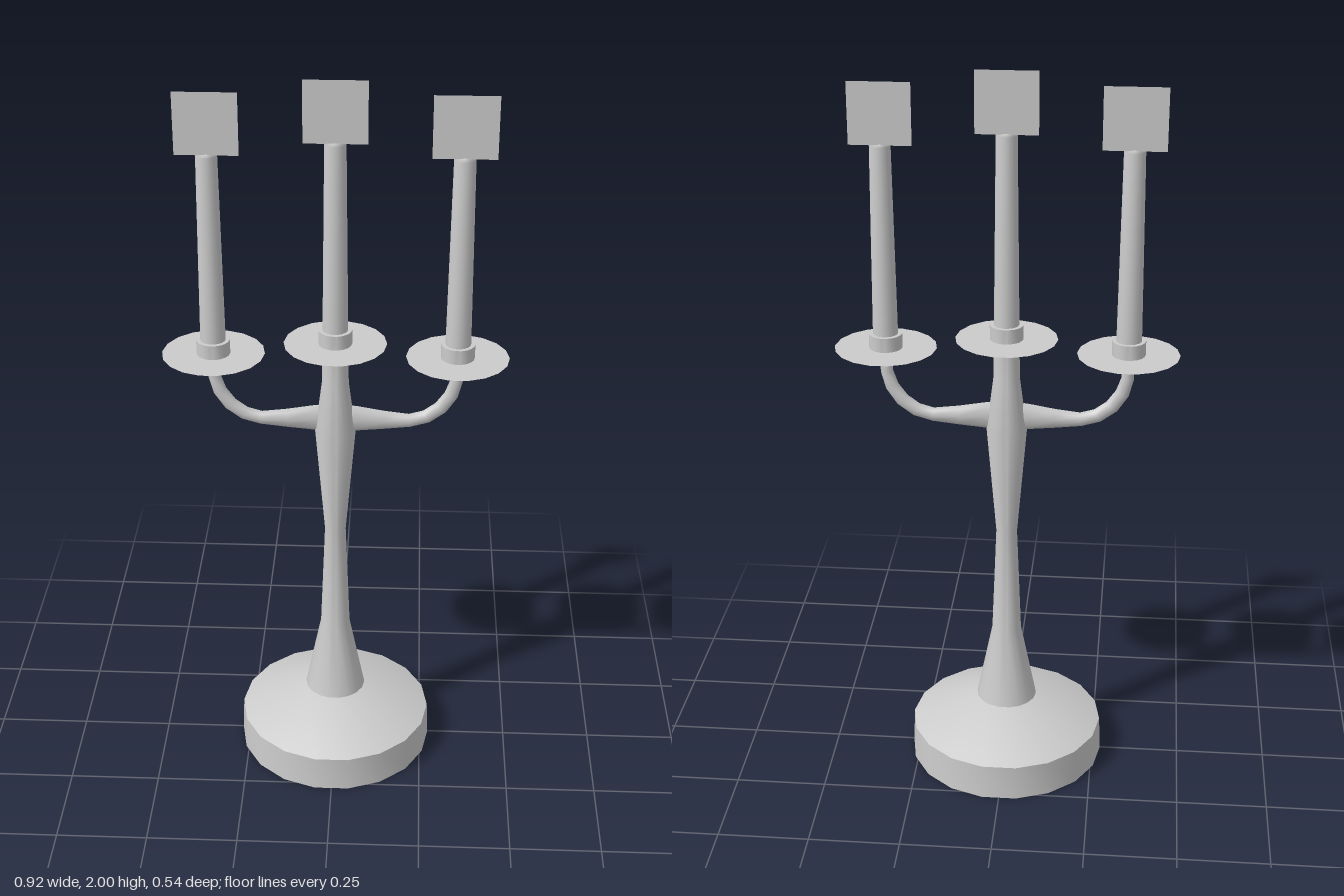
import * as THREE from 'three';
import { toCreasedNormals } from 'three/addons/utils/BufferGeometryUtils.js';

const SIDES = 18;
const material = new THREE.MeshStandardMaterial({ color: 0xcccccc });
const thinMaterial = new THREE.MeshStandardMaterial({ color: 0xcccccc, side: THREE.DoubleSide });

// Turned part from [radius, height] pairs, listed bottom to top
function turned(name, profile, smooth = false) {
  let geometry = new THREE.LatheGeometry(profile.map(([r, y]) => new THREE.Vector2(r, y)), SIDES);
  geometry.rotateY(Math.PI / 2);
  if (!smooth) geometry = toCreasedNormals(geometry, 0.45);
  const mesh = new THREE.Mesh(geometry, material);
  mesh.name = name;
  return mesh;
}

// Drip pan, cup, candle and flame card, with y = 0 at the top of the pan
function candleHolder(name) {
  const group = new THREE.Group();
  group.name = name;
  group.add(turned('dripPan', [[0, -0.03], [0.02, -0.03], [0.137, 0], [0, 0]]));
  group.add(turned('candleCup', [[0.045, -0.005], [0.045, 0.04], [0, 0.04]]));
  group.add(turned('candle', [[0.034, 0.03], [0.028, 0.551], [0, 0.553]], true));
  const flame = new THREE.Mesh(new THREE.PlaneGeometry(0.164, 0.164), thinMaterial);
  flame.name = 'flameCard';
  flame.position.y = 0.633;
  group.add(flame);
  return group;
}

// Curved arm swept in the xy plane, deep at the stem and slim at the tip
function armGeometry() {
  const stations = [ // x, y, half depth
    [0, 1.06, 0.042], [0.055, 1.06, 0.038], [0.13, 1.057, 0.028], [0.2, 1.057, 0.02],
    [0.245, 1.07, 0.02], [0.283, 1.098, 0.02], [0.31, 1.137, 0.019],
    [0.323, 1.18, 0.017], [0.325, 1.235, 0.016],
  ];
  const ringSides = 8, positions = [], index = [];
  stations.forEach(([x, y, depth], i) => {
    const a = stations[Math.max(i - 1, 0)], b = stations[Math.min(i + 1, stations.length - 1)];
    const angle = Math.atan2(b[1] - a[1], b[0] - a[0]);
    for (let j = 0; j < ringSides; j++) {
      const t = (j / ringSides) * Math.PI * 2;
      const u = Math.cos(t) * depth;
      positions.push(x - Math.sin(angle) * u, y + Math.cos(angle) * u, Math.sin(t) * 0.015);
      if (i === 0) continue;
      const k = (j + 1) % ringSides;
      const p = (i - 1) * ringSides, q = i * ringSides;
      index.push(p + j, p + k, q + j, p + k, q + k, q + j);
    }
  });
  const geometry = new THREE.BufferGeometry();
  geometry.setAttribute('position', new THREE.Float32BufferAttribute(positions, 3));
  geometry.setIndex(index);
  geometry.computeVertexNormals();
  return geometry;
}

export function createModel() {
  const model = new THREE.Group();
  model.name = 'candelabra';

  // Foot and stem
  model.add(turned('base', [[0, 0], [0.275, 0], [0.271, 0.1], [0.083, 0.18], [0, 0.18]]));
  model.add(turned('stem', [
    [0.086, 0.175], [0.041, 0.4], [0.029, 0.71], [0.055, 1.02], [0.036, 1.17], [0.034, 1.27],
  ]));

  // Middle candle
  const middle = candleHolder('middleHolder');
  middle.position.y = 1.285;
  model.add(middle);

  // Side arms and their candles
  const arm = armGeometry();
  for (const [side, sign] of [['left', 1], ['right', -1]]) {
    const mesh = new THREE.Mesh(arm, material);
    mesh.name = side + 'Arm';
    if (sign < 0) mesh.rotation.y = Math.PI;
    const holder = candleHolder(side + 'Holder');
    holder.position.set(sign * 0.324, 1.25, 0);
    model.add(mesh, holder);
  }
  return model;
}
